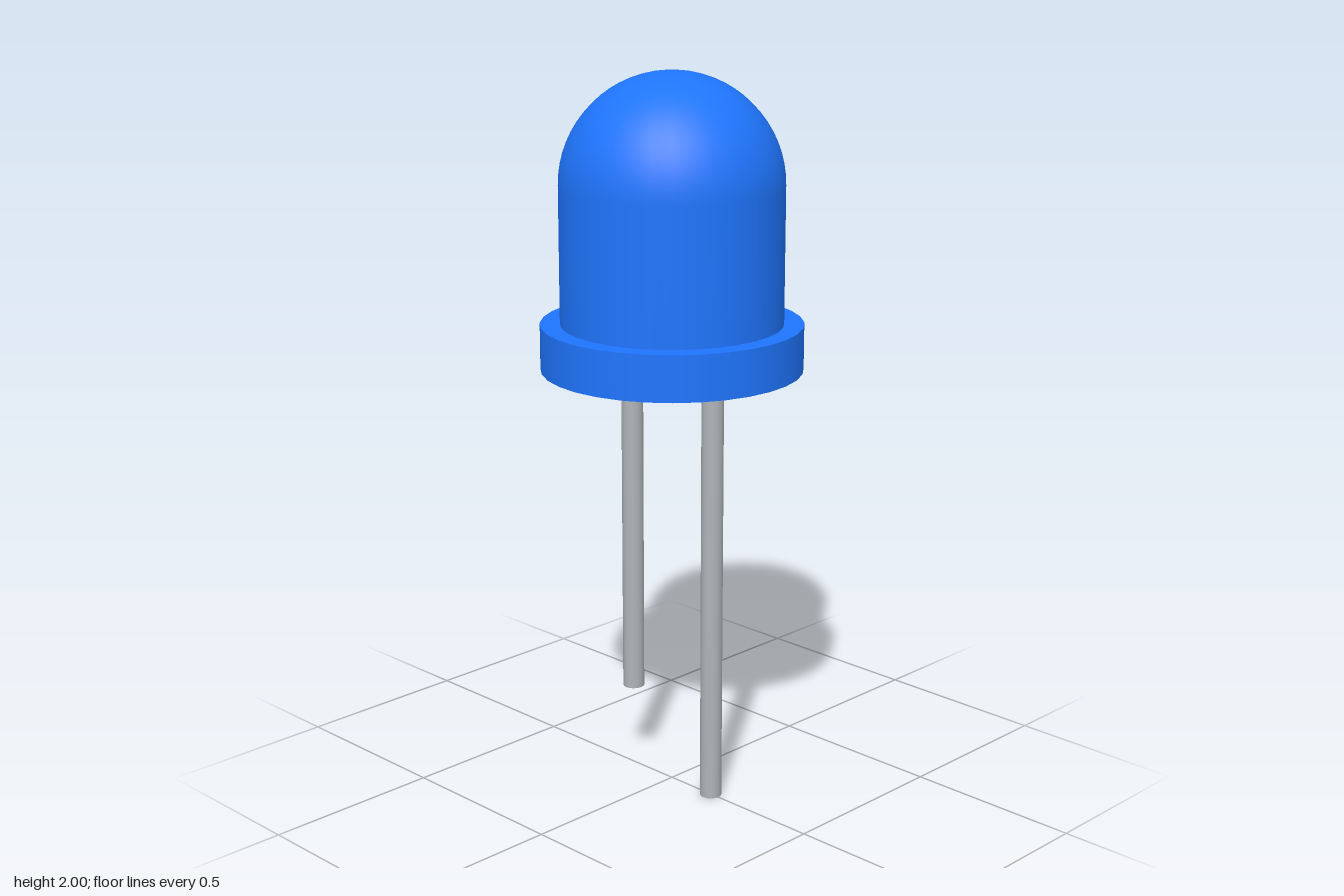
import * as THREE from 'three';

const SEGMENTS = 32;

export function createModel() {
  const group = new THREE.Group();
  const blue = new THREE.MeshStandardMaterial({ color: 0x1f75fe });
  const metal = new THREE.MeshStandardMaterial({ color: 0xb0b4b8 });

  const add = (name, geometry, material, x, y) => {
    const mesh = new THREE.Mesh(geometry, material);
    mesh.name = name;
    mesh.position.set(x, y, 0);
    group.add(mesh);
  };
  // Upright cylinder between two heights
  const rod = (name, radius, bottom, top, sides, material, x = 0) =>
    add(name, new THREE.CylinderGeometry(radius, radius, top - bottom, sides), material, x, (bottom + top) / 2);

  // Lens: straight wall running into a half-sphere dome
  const radius = 0.3, domeBase = 1.7, flangeTop = 1.33, flangeBottom = 1.205;
  const profile = [new THREE.Vector2(radius, flangeTop - 0.02)];
  const rings = 16;
  for (let i = 0; i <= rings; i++) {
    const a = (i / rings) * Math.PI / 2;
    profile.push(new THREE.Vector2(i === rings ? 0 : radius * Math.cos(a), domeBase + radius * Math.sin(a)));
  }
  // Start at +x so the sides line up with the axes
  add('lens', new THREE.LatheGeometry(profile, SEGMENTS), blue, 0, 0);

  // Flange around the foot of the lens
  rod('flange', 0.354, flangeBottom, flangeTop, SEGMENTS, blue);

  // Wire leads, the left one longer
  rod('longLead', 0.03, 0, flangeBottom + 0.02, 16, metal, 0.152);
  rod('shortLead', 0.03, 0.24, flangeBottom + 0.02, 16, metal, -0.154);

  return group;
}
